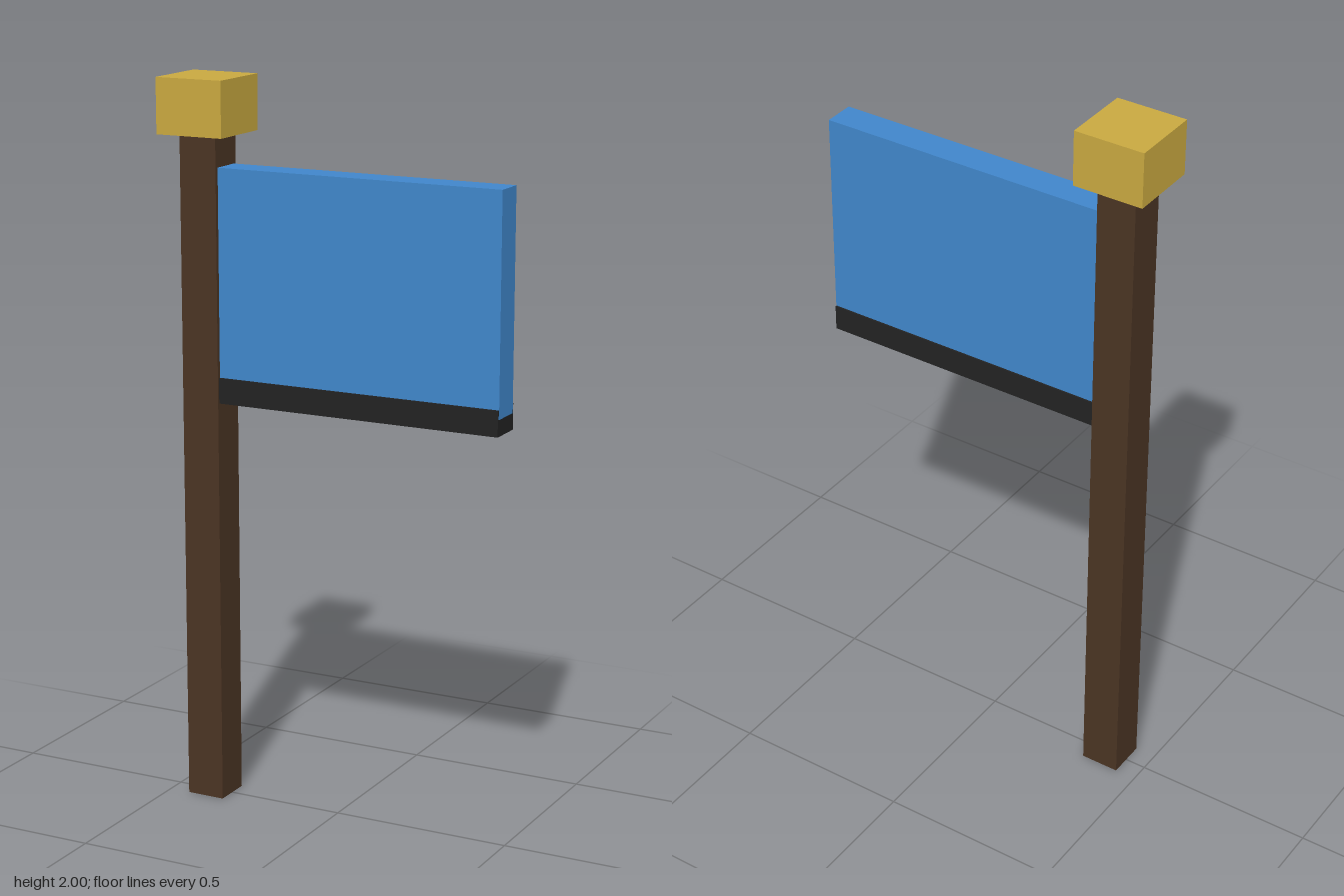
import * as THREE from 'three';

const material = (name, color) => {
  const m = new THREE.MeshStandardMaterial({ color });
  m.name = name;
  return m;
};

// Box given by its lower and upper corner
function box(name, mat, [x0, y0, z0], [x1, y1, z1]) {
  const mesh = new THREE.Mesh(new THREE.BoxGeometry(x1 - x0, y1 - y0, z1 - z0), mat);
  mesh.position.set((x0 + x1) / 2, (y0 + y1) / 2, (z0 + z1) / 2);
  mesh.name = name;
  return mesh;
}

export function createModel() {
  const wood = material('dark wood', 0x4a3423);
  const gold = material('gold', 0xc8a840);
  const blue = material('blue cloth', 0x4086ca);
  const black = material('black trim', 0x222222);

  const group = new THREE.Group();
  group.name = 'flag';
  group.add(
    // Square post with its cap
    box('pole', wood, [-0.441, 0, -0.054], [-0.333, 1.86, 0.054]),
    box('poleCap', gold, [-0.485, 1.85, -0.098], [-0.29, 2, 0.098]),
    // Banner, its end just covering the end of the slightly thicker trim
    box('banner', blue, [-0.34, 1.175, -0.043], [0.484, 1.765, 0.043]),
    box('bannerTrim', black, [-0.34, 1.13, -0.048], [0.483, 1.2, 0.048]),
  );
  return group;
}
